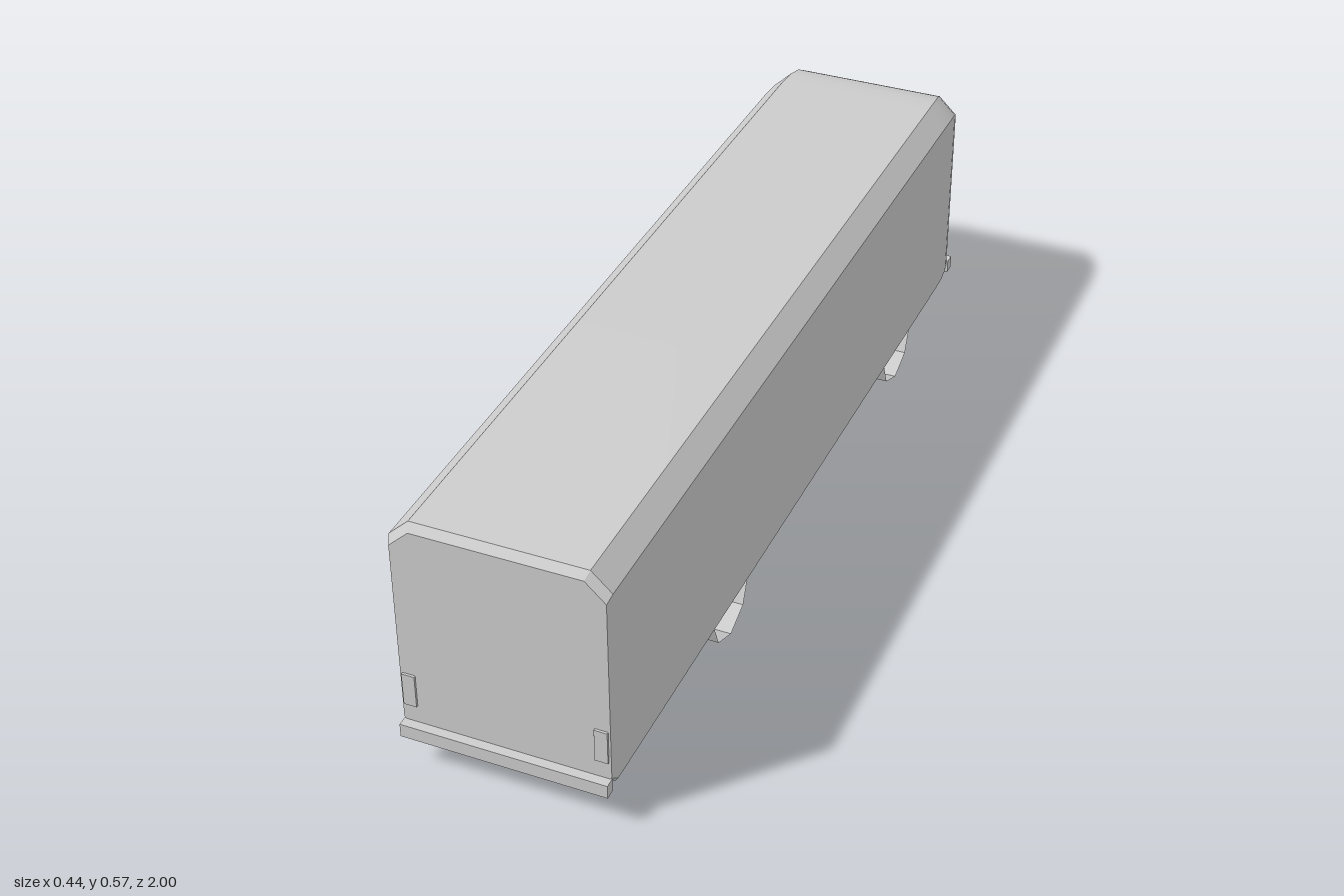
import * as THREE from 'three';
import { toCreasedNormals } from 'three/addons/utils/BufferGeometryUtils.js';

// Body cross-section: chamfered roof edges and a small bevel along the floor
function section({ z, w, top, floor }) {
  const right = [[w - 0.005, floor], [w, floor + 0.008], [w, top - 0.04], [w - 0.042, top]];
  const left = right.map(([x, y]) => [-x, y]).reverse();
  return [...right, ...left].map(([x, y]) => [x, y, z]);
}

// Skin a list of cross-sections, front to back, and close both ends
function loft(stations) {
  const rings = stations.map(section);
  const n = rings[0].length;
  const index = [];
  for (let s = 0; s < rings.length - 1; s++) {
    for (let i = 0; i < n; i++) {
      const a = s * n + i, b = s * n + (i + 1) % n;
      index.push(a, a + n, b + n, a, b + n, b);
    }
  }
  const last = (rings.length - 1) * n;
  for (let i = 1; i < n - 1; i++) {
    index.push(0, i, i + 1, last, last + i + 1, last + i);
  }
  const geometry = new THREE.BufferGeometry();
  geometry.setAttribute('position', new THREE.Float32BufferAttribute(rings.flat(2), 3));
  geometry.setIndex(index);
  return toCreasedNormals(geometry, 0.42);
}

export function createModel() {
  const group = new THREE.Group();
  const grey = new THREE.MeshStandardMaterial({ color: 0xcccccc, side: THREE.DoubleSide });
  grey.name = 'plain grey';

  const add = (name, geometry, x = 0, y = 0, z = 0) => {
    const mesh = new THREE.Mesh(geometry, grey);
    mesh.name = name;
    mesh.position.set(x, y, z);
    group.add(mesh);
  };

  // Long body: narrow bevel at the front, soft rounding at the back
  add('body', loft([
    { z: 0.98, w: 0.216, top: 0.56, floor: 0.102 },
    { z: 0.965, w: 0.222, top: 0.575, floor: 0.09 },
    { z: -0.86, w: 0.222, top: 0.575, floor: 0.09 },
    { z: -0.91, w: 0.221, top: 0.573, floor: 0.09 },
    { z: -0.95, w: 0.217, top: 0.566, floor: 0.091 },
    { z: -0.975, w: 0.212, top: 0.553, floor: 0.097 },
  ]));

  // Bumpers
  add('frontBumper', new THREE.BoxGeometry(0.432, 0.03, 0.024), 0, 0.09, 0.988);
  add('rearBumper', new THREE.BoxGeometry(0.432, 0.03, 0.026), 0, 0.096, -0.987);

  // Open eight-sided wheel bands, with a corner pointing down
  const wheel = toCreasedNormals(
    new THREE.CylinderGeometry(0.092, 0.092, 0.05, 8, 1, true).rotateZ(Math.PI / 2), 0.3);

  for (const side of [1, -1]) {
    const label = side > 0 ? 'left' : 'right';
    add(`${label}FrontWheel`, wheel, side * 0.188, 0.092, 0.4);
    add(`${label}RearWheel`, wheel, side * 0.188, 0.092, -0.61);

    // Upright lamps in front, flat lamps at the back
    add(`${label}Headlamp`, new THREE.BoxGeometry(0.027, 0.074, 0.008), side * 0.198, 0.183, 0.981);
    add(`${label}TailLamp`, new THREE.BoxGeometry(0.075, 0.028, 0.009), side * 0.147, 0.156, -0.976);
  }

  return group;
}
